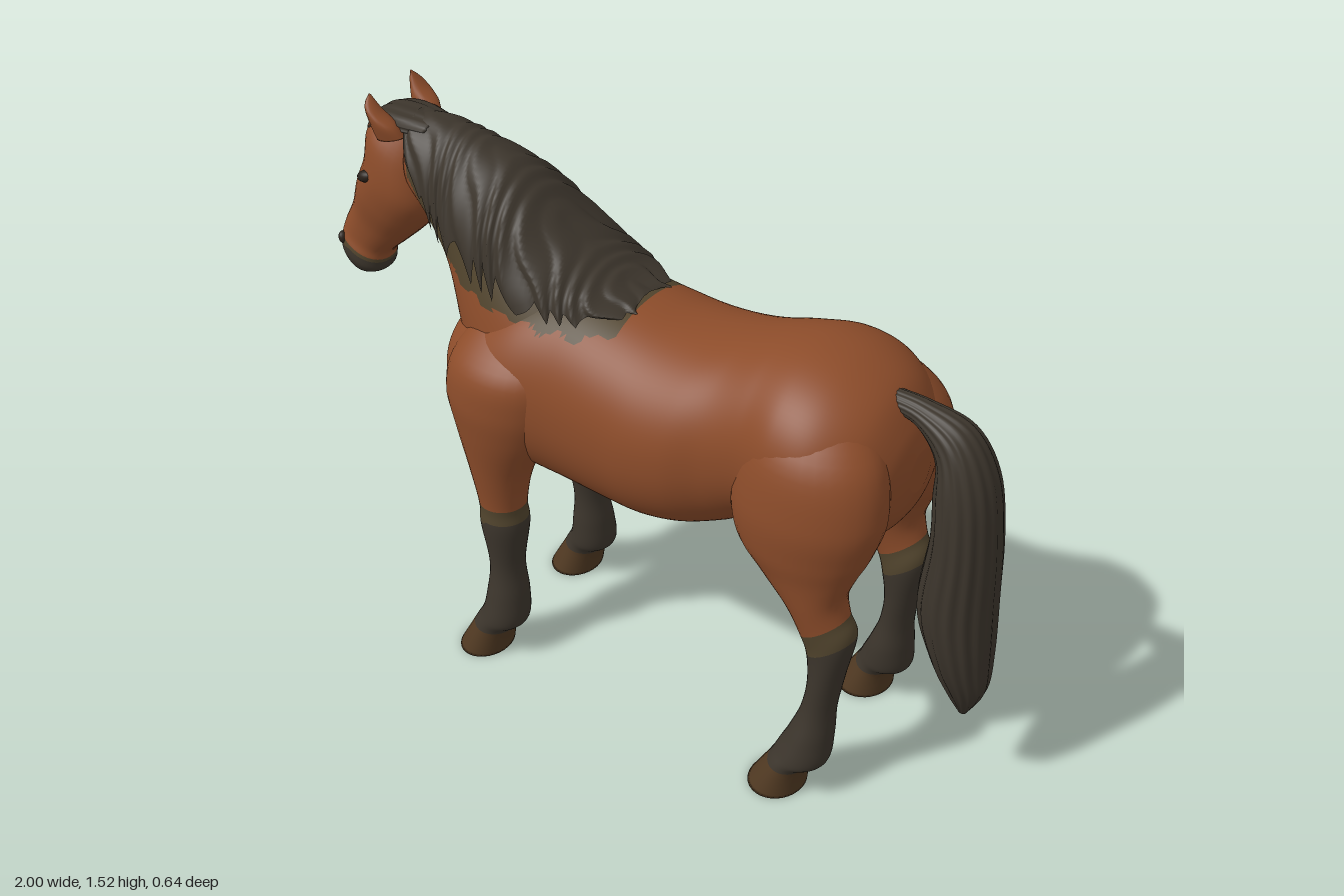
import * as THREE from 'three';

const mat = (name, color) => Object.assign(new THREE.MeshStandardMaterial({ color }), { name });

// Catmull-Rom through rows of numbers
function sample(rows, t) {
  const last = rows.length - 1, i = Math.min(Math.floor(t), last - 1), f = t - i;
  const at = k => rows[Math.max(0, Math.min(last, k))];
  return rows[i].map((_, k) => {
    const [p, q, r, s] = [at(i - 1)[k], at(i)[k], at(i + 1)[k], at(i + 2)[k]];
    return q + 0.5 * f * (r - p + f * (2 * p - 5 * q + 4 * r - s + f * (3 * (q - r) + s - p)));
  });
}

// Closed loft. Row: [ax, ay, bx, by, halfWidth, z], the two outline points seen from the side.
// bands: [[endRow, material], ...]; patch: [material, test(x, y)] recolours the faces that pass.
function loft(name, rows, bands, { power = 2, seg = 32, sub = 6, ridge = 0, count = 0, side = 1, patch } = {}) {
  const pos = [], idx = [], n = (rows.length - 1) * sub;
  const full = rows.map(r => [...r.slice(0, 5), (r[5] || 0) * side]);
  const bend = v => Math.sign(v) * Math.abs(v) ** (2 / power);
  for (let j = 0; j <= n; j++) {
    const [ax, ay, bx, by, w, z] = sample(full, j / sub);
    for (let i = 0; i < seg; i++) {
      const a = i / seg * Math.PI * 2, k = 1 - ridge * (0.5 + 0.5 * Math.cos(a * count + j * 0.05));
      const c = bend(Math.cos(a)) * k / 2, s = bend(Math.sin(a)) * k;
      pos.push((ax + bx) / 2 + c * (ax - bx), (ay + by) / 2 + c * (ay - by), z + s * w);
    }
  }
  for (const j of [0, n]) {
    const [ax, ay, bx, by, , z] = sample(full, j / sub);
    pos.push((ax + bx) / 2, (ay + by) / 2, z);
  }
  const cap = (n + 1) * seg;
  for (let i = 0; i < seg; i++) idx.push(cap, (i + 1) % seg, i);
  for (let j = 0; j < n; j++) for (let i = 0; i < seg; i++) {
    const a = j * seg + i, b = j * seg + (i + 1) % seg;
    idx.push(a, b, a + seg, b, b + seg, a + seg);
  }
  for (let i = 0; i < seg; i++) idx.push(cap + 1, n * seg + i, n * seg + (i + 1) % seg);

  // sort faces by colour and sum the signed volume
  const materials = bands.map(b => b[1]), lists = bands.map(() => []);
  if (patch) { materials.push(patch[0]); lists.push([]); }
  let volume = 0;
  const [p, q, r] = [0, 1, 2].map(() => new THREE.Vector3());
  for (let i = 0; i < idx.length; i += 3) {
    [p, q, r].forEach((v, k) => v.fromArray(pos, idx[i + k] * 3));
    const row = (i / 3 - seg) / (2 * seg * sub);
    let m = bands.findIndex(b => row < b[0]);
    if (m < 0) m = bands.length - 1;
    if (patch && patch[1]((p.x + q.x + r.x) / 3, (p.y + q.y + r.y) / 3)) m = bands.length;
    lists[m].push(idx[i], idx[i + 1], idx[i + 2]);
    volume += p.dot(q.cross(r));
  }
  const sorted = lists.flat();
  if (volume < 0) for (let i = 0; i < sorted.length; i += 3) [sorted[i], sorted[i + 1]] = [sorted[i + 1], sorted[i]];
  const g = new THREE.BufferGeometry();
  g.setAttribute('position', new THREE.Float32BufferAttribute(pos, 3));
  g.setIndex(sorted);
  g.computeVertexNormals();
  let start = 0;
  lists.forEach((list, k) => { g.addGroup(start, list.length, k); start += list.length; });
  const mesh = new THREE.Mesh(g, materials);
  mesh.name = name;
  return mesh;
}

// Open sheet of hair hanging over both sides of the neck.
// Row: [crestX, crestY, edgeX, edgeY, edgeZ]
function maneSheet(name, material, rows, locks) {
  const pos = [], idx = [], cols = locks * 10, n = 48;
  for (let j = 0; j <= cols; j++) {
    const u = j / cols, [cx, cy, ex, ey, ez] = sample(rows, u * (rows.length - 1));
    for (let i = 0; i <= n; i++) {
      const v = i / n * 2 - 1, t = Math.abs(v);
      const f = u * locks - 1.2 * t + 0.4 * Math.sin(u * 23 + t * 2) + 4;
      const saw = Math.abs((f % 1) * 2 - 1);
      const a = t * (1 - 0.17 * saw) * Math.PI / 2, drop = 1 - Math.cos(a);
      const k = 1 - 0.08 * saw * Math.min(1, t * 3);
      pos.push(cx + (ex - cx) * drop + 0.02 * t * t * (1 - saw),
        cy + (ey - cy) * drop - 0.006 * saw, Math.sign(v) * Math.sin(a) * ez * k);
    }
  }
  for (let j = 0; j < cols; j++) for (let i = 0; i < n; i++) {
    const a = j * (n + 1) + i, b = a + n + 1;
    idx.push(a, a + 1, b, a + 1, b + 1, b);
  }
  const g = new THREE.BufferGeometry();
  g.setAttribute('position', new THREE.Float32BufferAttribute(pos, 3));
  g.setIndex(idx);
  g.computeVertexNormals();
  const mesh = new THREE.Mesh(g, material);
  mesh.name = name;
  return mesh;
}

export function createModel() {
  const coat = mat('bay coat', 0x8c4c2a), hair = mat('dark hair', 0x3c352c);
  const blend = mat('olive transition', 0x51442d), horn = mat('hoof horn', 0x503922), eyeMat = mat('eye', 0x2a211a);
  hair.side = THREE.DoubleSide;
  const horse = new THREE.Group();
  horse.name = 'horse';

  const maneRows = [
    [-0.73, 1.472, -0.7, 1.35, 0.105], [-0.62, 1.472, -0.6, 1.21, 0.142], [-0.5, 1.445, -0.49, 1.155, 0.178],
    [-0.39, 1.4, -0.36, 1.125, 0.21], [-0.25, 1.285, -0.22, 1.115, 0.208], [-0.12, 1.205, -0.1, 1.125, 0.17],
    [-0.02, 1.158, -0.01, 1.147, 0.075],
  ];
  // olive fringe on the coat just below the mane's edge
  const fringe = [blend, (x, y) => {
    const i = maneRows.findIndex(r => r[2] > x);
    if (i < 1) return false;
    const [, , x0, y0] = maneRows[i - 1], [, , x1, y1] = maneRows[i];
    return y > y0 + (y1 - y0) * (x - x0) / (x1 - x0) - 0.033 + 0.006 * Math.sin(x * 70);
  }];

  // barrel, chest and croup
  horse.add(loft('torso', [
    [-0.545, 0.94, -0.54, 0.84, 0.07], [-0.525, 1.0, -0.52, 0.76, 0.185], [-0.46, 1.05, -0.46, 0.69, 0.243],
    [-0.38, 1.1, -0.38, 0.64, 0.268], [-0.28, 1.15, -0.28, 0.6, 0.277], [-0.15, 1.165, -0.15, 0.58, 0.27],
    [0, 1.145, 0, 0.575, 0.28], [0.1, 1.133, 0.1, 0.58, 0.287], [0.2, 1.14, 0.2, 0.6, 0.28],
    [0.3, 1.165, 0.3, 0.64, 0.257], [0.4, 1.195, 0.4, 0.7, 0.255], [0.5, 1.208, 0.5, 0.72, 0.28],
    [0.6, 1.19, 0.6, 0.72, 0.275], [0.69, 1.14, 0.69, 0.74, 0.22], [0.745, 1.06, 0.745, 0.8, 0.14],
    [0.768, 0.99, 0.768, 0.88, 0.05],
  ], [[15, coat]], { power: 2.15, seg: 96, sub: 10, patch: fringe }));

  horse.add(loft('neck', [
    [-0.535, 0.8, -0.02, 1.04, 0.238], [-0.562, 0.96, -0.2, 1.18, 0.2], [-0.6, 1.08, -0.4, 1.36, 0.147],
    [-0.65, 1.16, -0.55, 1.43, 0.117], [-0.7, 1.23, -0.72, 1.44, 0.09],
  ], [[4, coat]], { seg: 80, sub: 14, patch: fringe }));

  // head, darkening toward the muzzle
  horse.add(loft('head', [
    [-0.82, 1.45, -0.68, 1.39, 0.06], [-0.868, 1.41, -0.67, 1.305, 0.097], [-0.883, 1.325, -0.667, 1.21, 0.112],
    [-0.92, 1.243, -0.72, 1.135, 0.1], [-0.952, 1.155, -0.79, 1.068, 0.074], [-0.985, 1.09, -0.848, 1.015, 0.066],
    [-0.995, 1.055, -0.86, 0.985, 0.074], [-0.998, 1.02, -0.868, 0.955, 0.074], [-0.978, 0.965, -0.9, 0.938, 0.05],
    [-0.955, 0.945, -0.925, 0.938, 0.02],
  ], [[5.8, coat], [6.2, blend], [9, hair]], { power: 2.2 }));

  horse.add(loft('forelock', [
    [-0.65, 1.465, -0.68, 1.41, 0.06], [-0.74, 1.472, -0.75, 1.41, 0.078], [-0.82, 1.462, -0.79, 1.4, 0.066],
    [-0.875, 1.405, -0.82, 1.37, 0.058], [-0.895, 1.31, -0.86, 1.31, 0.012],
  ], [[4, hair]], { ridge: 0.1, count: 12, seg: 48 }));

  horse.add(maneSheet('mane', hair, maneRows, 13));

  horse.add(loft('tail', [
    [0.67, 1.14, 0.67, 1.08, 0.03], [0.77, 1.135, 0.75, 1.07, 0.038], [0.89, 1.1, 0.81, 1.0, 0.065],
    [0.962, 0.98, 0.815, 0.91, 0.095], [0.988, 0.8, 0.82, 0.8, 0.112], [0.996, 0.6, 0.8, 0.6, 0.119],
    [1, 0.45, 0.845, 0.45, 0.102], [0.995, 0.34, 0.89, 0.34, 0.062], [0.95, 0.25, 0.93, 0.25, 0.008],
  ], [[8, hair]], { ridge: 0.06, count: 16, seg: 80 }));

  for (const side of [1, -1]) {
    const label = side > 0 ? 'Near' : 'Far';
    // shoulder, knee, fetlock and hoof
    horse.add(loft('foreleg' + label, [
      [-0.43, 1.04, -0.2, 1.04, 0.05, 0.15], [-0.48, 0.95, -0.16, 0.95, 0.1, 0.192], [-0.5, 0.85, -0.165, 0.85, 0.115, 0.195],
      [-0.48, 0.75, -0.2, 0.75, 0.11, 0.19], [-0.445, 0.62, -0.265, 0.62, 0.084, 0.192], [-0.42, 0.5, -0.29, 0.5, 0.066, 0.192],
      [-0.417, 0.43, -0.285, 0.43, 0.068, 0.192], [-0.393, 0.3, -0.3, 0.3, 0.053, 0.196], [-0.4, 0.2, -0.288, 0.2, 0.064, 0.202],
      [-0.41, 0.145, -0.288, 0.115, 0.072, 0.209], [-0.435, 0.095, -0.325, 0.08, 0.07, 0.215], [-0.485, 0, -0.345, 0, 0.086, 0.216],
    ], [[5, coat], [5.7, blend], [10, hair], [11, horn]], { side }));
    // thigh, hock, fetlock and hoof
    horse.add(loft('hindLeg' + label, [
      [0.43, 1.14, 0.64, 1.14, 0.07, 0.11], [0.385, 1.03, 0.74, 1.02, 0.13, 0.152], [0.36, 0.88, 0.768, 0.88, 0.14, 0.172],
      [0.38, 0.76, 0.742, 0.77, 0.125, 0.18], [0.45, 0.68, 0.712, 0.7, 0.1, 0.19], [0.535, 0.59, 0.69, 0.635, 0.08, 0.197],
      [0.58, 0.5, 0.7, 0.58, 0.066, 0.197], [0.598, 0.44, 0.722, 0.52, 0.063, 0.193], [0.607, 0.36, 0.7, 0.39, 0.056, 0.198],
      [0.595, 0.27, 0.685, 0.28, 0.053, 0.204], [0.567, 0.19, 0.685, 0.19, 0.066, 0.212], [0.545, 0.14, 0.678, 0.11, 0.073, 0.222],
      [0.525, 0.095, 0.63, 0.08, 0.072, 0.23], [0.47, 0, 0.62, 0, 0.087, 0.232],
    ], [[6, coat], [7, blend], [12, hair], [13, horn]], { side }));
    horse.add(loft('ear' + label, [
      [-0.8, 1.4, -0.715, 1.42, 0.028, 0.075], [-0.813, 1.46, -0.735, 1.45, 0.03, 0.085],
      [-0.818, 1.5, -0.775, 1.48, 0.022, 0.09], [-0.814, 1.522, -0.806, 1.514, 0.004, 0.083],
    ], [[3, coat]], { side, seg: 16 }));

    // eye and nostril
    for (const [name, x, y, z, sx, sy] of [['eye', -0.84, 1.282, 0.094, 0.026, 0.016], ['nostril', -0.972, 1.04, 0.056, 0.012, 0.018]]) {
      const m = new THREE.Mesh(new THREE.SphereGeometry(1, 16, 12), eyeMat);
      m.name = name + label;
      m.position.set(x, y, z * side);
      m.scale.set(sx, sy, 0.016);
      m.rotation.z = 0.3;
      horse.add(m);
    }
  }
  return horse;
}
